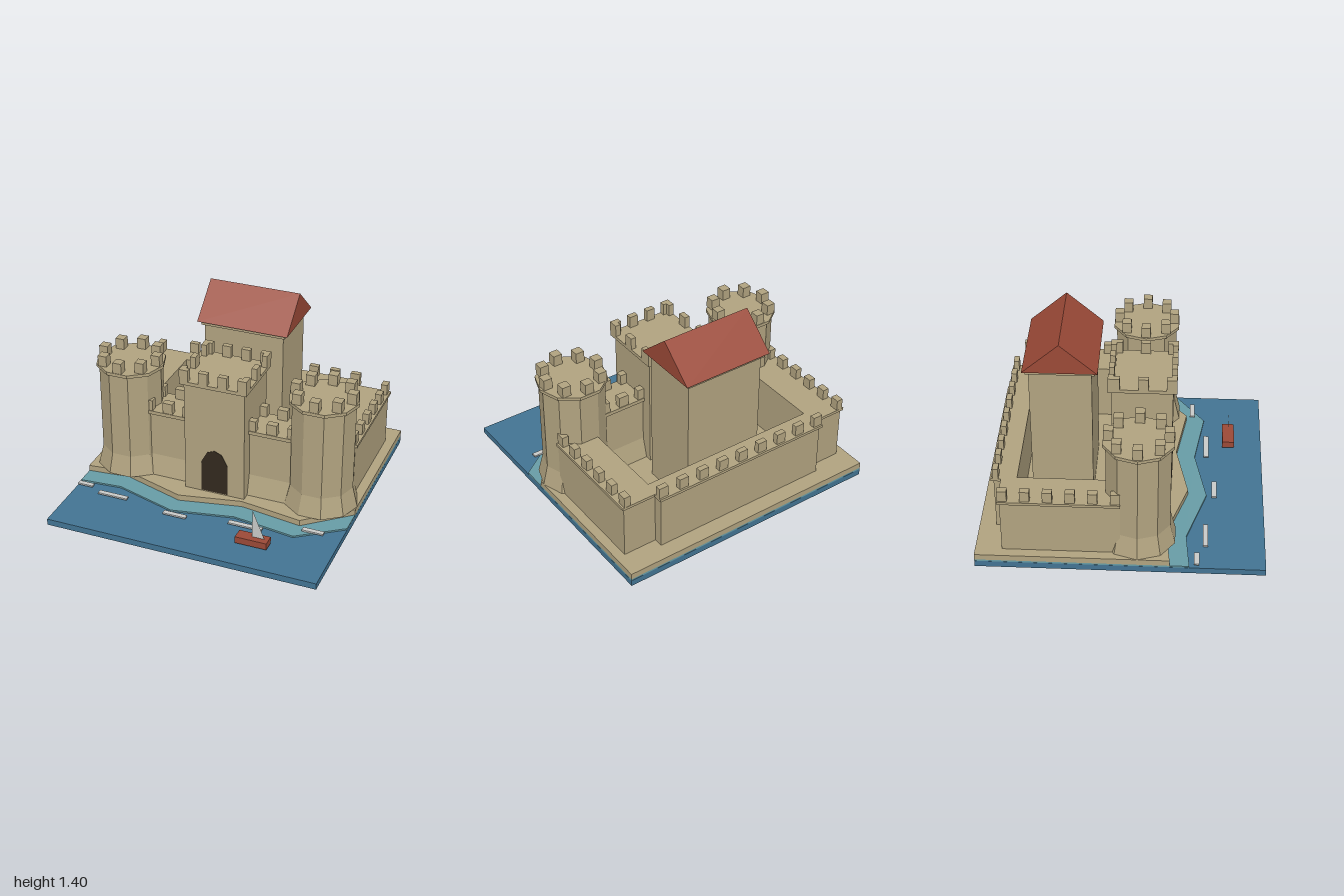
import * as THREE from 'three';

const mat = (name, color) => {
  const m = new THREE.MeshStandardMaterial({ color, flatShading: true });
  m.name = name;
  return m;
};

export function createModel() {
  const root = new THREE.Group();
  root.name = 'castle';
  const stone = mat('sandstone', 0xb0a27f);
  const red = mat('red', 0x9a4937);
  const sea = mat('deep water', 0x427392);
  const shallow = mat('shallow water', 0x679ba5);
  const white = mat('white', 0xc8c9c7);
  const dark = mat('dark opening', 0x32291e);
  white.side = THREE.DoubleSide;
  sea.side = THREE.DoubleSide;

  const group = (name, parent = root) => {
    const g = new THREE.Group();
    g.name = name;
    parent.add(g);
    return g;
  };
  const add = (parent, name, geo, material) => {
    const m = new THREE.Mesh(geo, material);
    m.name = name;
    parent.add(m);
    return m;
  };
  // Box given by its limits on each axis
  const box = (parent, name, material, x0, x1, y0, y1, z0, z1) => {
    const m = add(parent, name, new THREE.BoxGeometry(x1 - x0, y1 - y0, z1 - z0), material);
    m.position.set((x0 + x1) / 2, (y0 + y1) / 2, (z0 + z1) / 2);
    return m;
  };
  const merlon = (parent, x, y, z, w, d, h = 0.081) =>
    box(parent, 'merlon', stone, x - w / 2, x + w / 2, y, y + h, z - d / 2, z + d / 2);
  const shapeOf = pts => new THREE.Shape(pts.map(p => new THREE.Vector2(p[0], p[1])));
  // Prism along x from a (z, y) profile
  const prismX = (parent, name, material, profile, x0, x1) => {
    const geo = new THREE.ExtrudeGeometry(shapeOf(profile.map(([z, y]) => [-z, y])),
      { depth: x1 - x0, bevelEnabled: false });
    geo.rotateY(Math.PI / 2);
    geo.translate(x0, 0, 0);
    return add(parent, name, geo, material);
  };
  // Slab from the back edge to a given shoreline of (x, z) points
  const shore = (name, material, line, y0, y1) => {
    const pts = [...line, [1, -1], [-1, -1]].map(([x, z]) => [x, -z]);
    const geo = new THREE.ExtrudeGeometry(shapeOf(pts), { depth: y1 - y0, bevelEnabled: false });
    geo.rotateX(-Math.PI / 2);
    geo.translate(0, y0, 0);
    add(root, name, geo, material);
  };

  // Water surface with a skirt, hollow underneath, and the land on it
  const seaTop = 0.047;
  add(root, 'seaSurface', new THREE.PlaneGeometry(2, 2).rotateX(-Math.PI / 2), sea).position.y = seaTop;
  for (let i = 0; i < 4; i++) {
    const skirt = new THREE.PlaneGeometry(2, seaTop).translate(0, seaTop / 2, 1).rotateY(i * Math.PI / 2);
    add(root, 'seaSkirt', skirt, sea);
  }
  shore('shallows', shallow,
    [[-1, 0.475], [-0.69, 0.45], [-0.23, 0.59], [0.22, 0.5], [0.68, 0.567], [1, 0.34]], 0.048, 0.06);
  shore('land', stone,
    [[-1, 0.34], [-0.69, 0.31], [-0.23, 0.455], [0.22, 0.362], [0.68, 0.432], [1, 0.16]], 0.06, 0.104);
  const foam = group('foam');
  for (const [x, z, w] of [[-0.932, 0.525, 0.115], [-0.685, 0.585, 0.225], [-0.175, 0.645, 0.175],
    [0.335, 0.585, 0.25], [0.795, 0.475, 0.155]]) {
    box(foam, 'foamStrip', white, x - w / 2, x + w / 2, 0.064, 0.076, z - 0.018, z + 0.018);
  }

  // Sailing boat
  const boat = group('boat');
  box(boat, 'hull', red, 0.34, 0.57, 0.066, 0.116, 0.707, 0.795);
  const sail = add(boat, 'sail',
    new THREE.ShapeGeometry(shapeOf([[0.45, 0.116], [0.54, 0.116], [0.45, 0.336]])), white);
  sail.position.z = 0.75;

  // Ten-sided front towers
  const ring = (parent, name, rTop, rBottom, y0, y1) => {
    const geo = new THREE.CylinderGeometry(rTop, rBottom, y1 - y0, 10, 1, false, Math.PI / 2);
    add(parent, name, geo, stone).position.y = (y0 + y1) / 2;
  };
  for (const s of [1, -1]) {
    const tower = group(s > 0 ? 'leftTower' : 'rightTower');
    tower.position.set(s * 0.73, 0, 0.117);
    ring(tower, 'towerFoot', 0.232, 0.27, 0.104, 0.257);
    ring(tower, 'towerShaft', 0.232, 0.232, 0.257, 0.915);
    ring(tower, 'towerCap', 0.252, 0.252, 0.914, 0.938);
    for (let i = 0; i < 8; i++) {
      const a = i * Math.PI / 4;
      merlon(tower, 0.203 * Math.cos(a), 0.938, 0.203 * Math.sin(a), 0.066, 0.066);
    }
  }

  // Front walls with a sloping foot
  const wallProfile = [[0.272, 0.104], [0.232, 0.257], [0.232, 0.6], [-0.008, 0.6], [-0.008, 0.257], [-0.048, 0.104]];
  for (const s of [1, -1]) {
    const wall = group(s > 0 ? 'leftFrontWall' : 'rightFrontWall');
    const x0 = s > 0 ? 0.2 : -0.56;
    prismX(wall, 'wallBody', stone, wallProfile, x0, x0 + 0.36);
    box(wall, 'wallCap', stone, x0, x0 + 0.36, 0.6, 0.627, -0.028, 0.252);
    for (const x of [0.24, 0.395, 0.548]) {
      for (const z of [0.222, 0.002]) merlon(wall, s * x, 0.627, z, 0.074, 0.05);
    }
  }

  // Gatehouse
  const gate = group('gatehouse');
  box(gate, 'gatehouseBody', stone, -0.226, 0.226, 0.104, 0.961, -0.095, 0.333);
  box(gate, 'gatehouseCap', stone, -0.25, 0.25, 0.961, 0.987, -0.12, 0.36);
  for (const x of [-0.217, -0.073, 0.073, 0.217]) {
    for (const z of [0.34, -0.1]) merlon(gate, x, 0.987, z, 0.066, 0.04, 0.088);
  }
  for (const z of [0.322, 0.127, -0.072]) {
    for (const x of [-0.23, 0.23]) merlon(gate, x, 0.987, z, 0.04, 0.07, 0.088);
  }
  const opening = shapeOf([[-0.1, 0.112], [0.1, 0.112], [0.1, 0.35], [0.055, 0.434], [0, 0.457],
    [-0.055, 0.434], [-0.1, 0.35]]);
  const door = add(gate, 'gateOpening',
    new THREE.ExtrudeGeometry(opening, { depth: 0.008, bevelEnabled: false }), dark);
  door.position.z = 0.328;

  // Broad courtyard walls with a projecting back
  const yard = group('courtyardWalls');
  for (const s of [1, -1]) {
    const side = (name, a, b, ...rest) =>
      box(yard, name, stone, Math.min(s * a, s * b), Math.max(s * a, s * b), ...rest);
    side('sideWall', 0.67, 0.93, 0.104, 0.507, -0.815, 0);
    side('sideWallCap', 0.67, 0.945, 0.507, 0.528, -0.83, 0);
    for (let i = 0; i < 6; i++) merlon(yard, s * 0.908, 0.528, -0.033 - i * 0.1525, 0.048, 0.066);
  }
  box(yard, 'backWall', stone, -0.68, 0.68, 0.104, 0.507, -0.882, -0.72);
  box(yard, 'backWallCap', stone, -0.694, 0.694, 0.507, 0.528, -0.9, -0.72);
  for (let i = 0; i < 9; i++) merlon(yard, -0.658 + i * 0.1645, 0.528, -0.867, 0.072, 0.04);

  // Keep with a gabled roof
  const keep = group('keep');
  box(keep, 'keepBody', stone, -0.3, 0.3, 0.104, 1.143, -0.66, -0.225);
  box(keep, 'keepCornice', stone, -0.318, 0.318, 1.143, 1.173, -0.682, -0.203);
  prismX(keep, 'roof', red, [[-0.182, 1.172], [-0.442, 1.4], [-0.702, 1.172]], -0.342, 0.342);

  return root;
}
